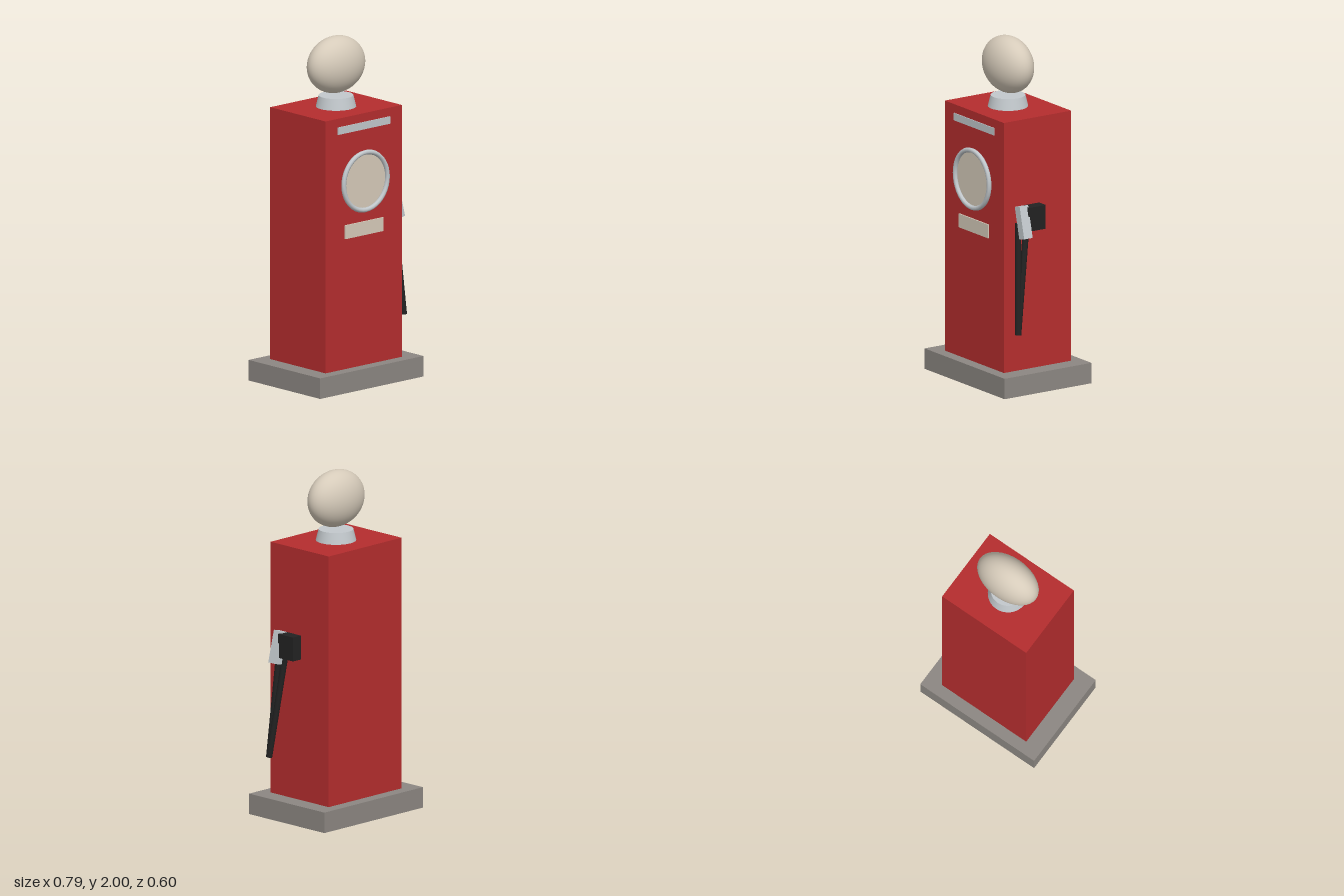
import * as THREE from 'three';

const material = (name, color) => {
  const m = new THREE.MeshStandardMaterial({ color });
  m.name = name;
  return m;
};

export function createModel() {
  const red = material('red paint', 0xb52d2e);
  const stone = material('grey concrete', 0x8c8782);
  const cream = material('cream glass', 0xd6cbba);
  const silver = material('silver metal', 0xc2c8cc);
  const black = material('black rubber', 0x222222);

  const model = new THREE.Group();
  model.name = 'fuelPump';

  const add = (name, geometry, mat, x, y, z) => {
    const mesh = new THREE.Mesh(geometry, mat);
    mesh.name = name;
    mesh.position.set(x, y, z);
    model.add(mesh);
    return mesh;
  };
  const box = (name, mat, w, h, d, x, y, z) =>
    add(name, new THREE.BoxGeometry(w, h, d), mat, x, y, z);

  // Plinth and cabinet
  box('base', stone, 0.794, 0.12, 0.6, 0, 0.06, 0);
  box('cabinet', red, 0.586, 1.47, 0.464, 0, 0.855, 0);

  // Collar and flattened globe on top
  add('globeCollar', new THREE.CylinderGeometry(0.099, 0.115, 0.065, 32), silver, 0, 1.6225, 0);
  add('globe', new THREE.SphereGeometry(1, 40, 28), cream, 0, 1.835, 0).scale.set(0.198, 0.165, 0.118);

  // Front trim strip and price plate
  box('trimStrip', silver, 0.4, 0.043, 0.006, 0, 1.518, 0.234);
  box('pricePlate', cream, 0.292, 0.08, 0.008, 0, 0.92, 0.236);

  // Round dial with its rim
  add('dialRim', new THREE.TorusGeometry(0.168, 0.014, 8, 40), silver, 0, 1.197, 0.248);
  add('dialFace', new THREE.CylinderGeometry(0.16, 0.16, 0.009, 40), cream, 0, 1.197, 0.2365)
    .rotation.x = Math.PI / 2;

  // Nozzle rest and slanted nozzle on the left side
  box('nozzleRest', black, 0.066, 0.14, 0.119, 0.325, 1.015, 0.048);
  box('nozzle', silver, 0.05, 0.188, 0.059, 0.34, 1.0, 0.128).rotation.z = 0.245;

  // Two hose strands meeting at the lower end
  const low = new THREE.Vector3(0.358, 0.35, 0.179);
  const tops = [new THREE.Vector3(0.308, 0.99, 0.145), new THREE.Vector3(0.312, 0.98, 0.09)];
  tops.forEach((top, i) => {
    const along = top.clone().sub(low);
    const middle = top.clone().add(low).multiplyScalar(0.5);
    const hose = add('hoseStrand' + (i + 1),
      new THREE.CylinderGeometry(0.018, 0.018, along.length(), 12), black, middle.x, middle.y, middle.z);
    hose.quaternion.setFromUnitVectors(new THREE.Vector3(0, 1, 0), along.normalize());
  });

  return model;
}
